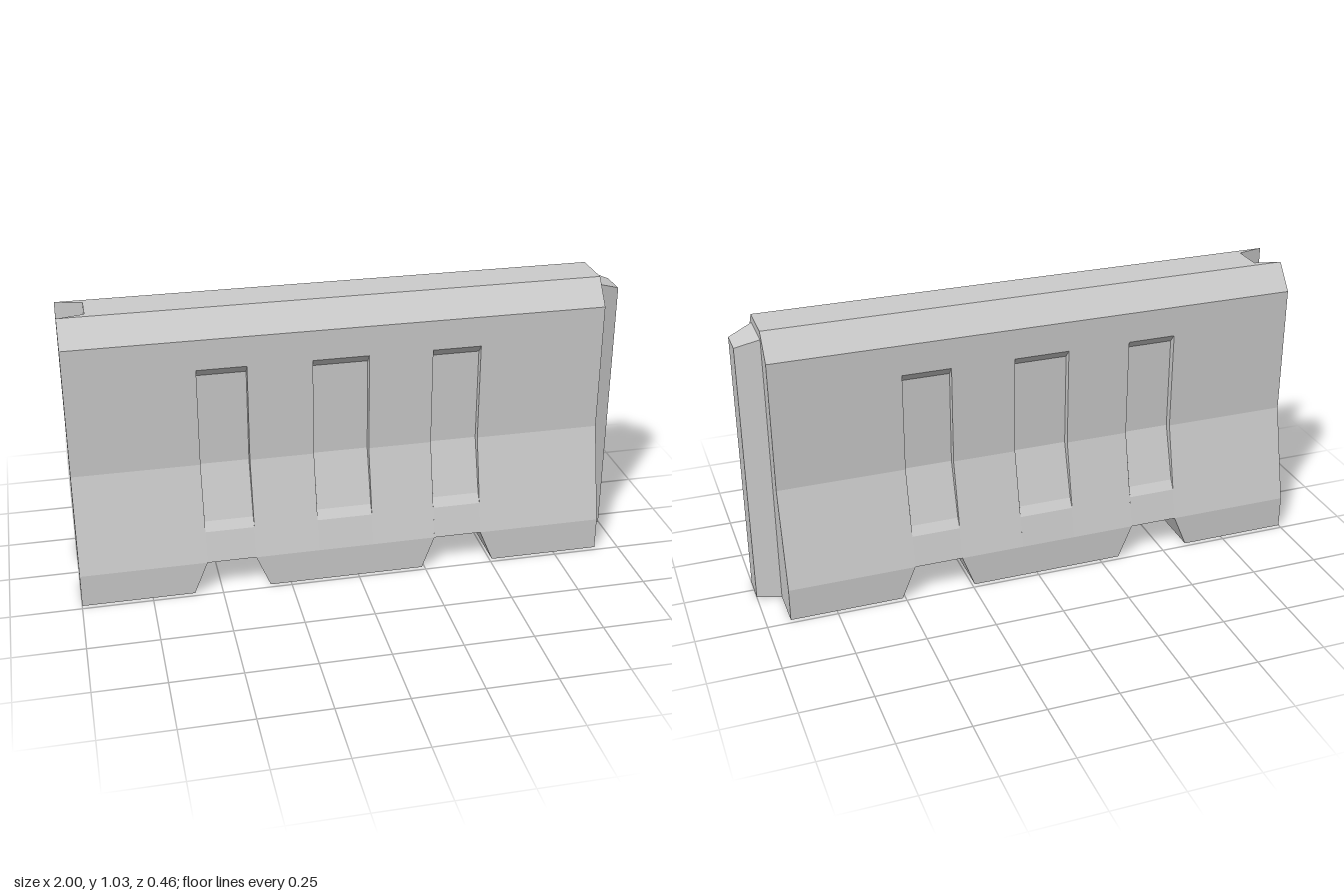
import * as THREE from 'three';
import { mergeGeometries } from 'three/addons/utils/BufferGeometryUtils.js';

const X0 = -1, X1 = 0.915, GROOVE = -0.905;
const IN = 0.078;              // half width of the top, groove mouth and tongue root
const TOP = 1.03;
const FOOT = [0.232, 0.12];    // [z, y] points of the side profile
const WAIST = [0.148, 0.47];
const SHOULDER = [0.148, 0.94];
const CROWN = [IN, TOP];

const pockets = [[-0.55, -0.375], [-0.145, 0.055], [0.285, 0.46]];
const notches = [
  [[-0.6, 0], [-0.55, 0.12], [-0.375, 0.12], [-0.325, 0]],
  [[0.24, 0], [0.285, 0.12], [0.46, 0.12], [0.51, 0]],
];
// pocket outline on the wall surface and its recessed floor, bottom to top
const pocketOuter = [[0.206, 0.23], WAIST, [0.148, 0.83]];
const pocketFloor = [[0.206, 0.23], [0.185, 0.262], [0.122, 0.46], [0.122, 0.8], [0.148, 0.83]];

// strip of flat quads between two equal rows of [x, y, z] points
function strip(a, b) {
  const p = [];
  for (let i = 0; i < a.length - 1; i++) {
    for (const v of [a[i], b[i], b[i + 1], a[i], b[i + 1], a[i + 1]]) p.push(...v);
  }
  const g = new THREE.BufferGeometry();
  g.setAttribute('position', new THREE.Float32BufferAttribute(p, 3));
  g.computeVertexNormals();
  return g;
}

// [z, y] profile swept along x
const sweep = (profile, x0, x1) => strip(
  profile.map(([z, y]) => [x0, y, z]),
  profile.map(([z, y]) => [x1, y, z]));

function flat(points) {
  const g = new THREE.ShapeGeometry(new THREE.Shape(points.map(([x, y]) => new THREE.Vector2(x, y))));
  const out = g.toNonIndexed();
  out.deleteAttribute('uv');
  return out;
}

// flat [z, y] outline at a given x, facing +x or -x
function crossPanel(points, x, dir) {
  return flat(points.map(([z, y]) => [-dir * z, y])).rotateY(dir * Math.PI / 2).translate(x, 0, 0);
}

// copy mirrored in z, with the corner order reversed to stay outward
function mirrorZ(geometry) {
  const g = geometry.clone();
  const p = g.attributes.position;
  for (let i = 0; i < p.count; i += 3) {
    const t = [0, 2, 1].map(k => new THREE.Vector3().fromBufferAttribute(geometry.attributes.position, i + k));
    t.forEach((v, k) => p.setXYZ(i + k, v.x, v.y, -v.z));
  }
  g.computeVertexNormals();
  return g;
}

export function createModel() {
  const model = new THREE.Group();
  const material = new THREE.MeshStandardMaterial({ color: 0xcccccc, flatShading: true, side: THREE.DoubleSide });
  const add = (name, parts) => {
    const mesh = new THREE.Mesh(mergeGeometries(parts), material);
    mesh.name = name;
    model.add(mesh);
  };

  // side wall: plain columns between the pockets
  const wall = [sweep([SHOULDER, CROWN], X0, X1)];
  const edges = [X0, ...pockets.flat(), X1];
  for (let i = 0; i < edges.length; i += 2) {
    wall.push(sweep([FOOT, WAIST, SHOULDER], edges[i], edges[i + 1]));
  }

  // foot band with the lifting notches cut out
  wall.push(flat([[X0, 0], ...notches.flat(), [X1, 0], [X1, FOOT[1]], [X0, FOOT[1]]]).translate(0, 0, FOOT[0]));

  // wall above and below each pocket
  const recess = [];
  for (const [a, b] of pockets) {
    wall.push(sweep([FOOT, pocketOuter[0]], a, b), sweep([pocketOuter[2], SHOULDER], a, b));
    // recessed floor and the two cheeks
    const cheek = [...pocketFloor, pocketOuter[1]];
    recess.push(sweep(pocketFloor, a, b), crossPanel(cheek, a, 1), crossPanel(cheek, b, -1));
  }
  add('frontWall', wall);
  add('backWall', wall.map(mirrorZ));
  add('frontPockets', recess);
  add('backPockets', recess.map(mirrorZ));

  // tunnels through the foot
  add('forkTunnels', notches.map(n => strip(
    n.map(([x, y]) => [x, y, -FOOT[0]]),
    n.map(([x, y]) => [x, y, FOOT[0]]))));

  // top with the groove notch
  const gz = 0.055;
  add('top', [flat([[X0, -IN], [X1, -IN], [X1, IN], [X0, IN], [GROOVE, gz], [GROOVE, -gz]]).rotateX(-Math.PI / 2).translate(0, TOP, 0)]);

  // groove end: two flanges and the groove lining
  const half = [[IN, 0], [FOOT[0], 0], FOOT, WAIST, SHOULDER, CROWN];
  const flange = crossPanel(half, X0, -1);
  const plan = [[X0, -IN], [GROOVE, -gz], [GROOVE, gz], [X0, IN]];
  add('grooveEnd', [flange, mirrorZ(flange)]);
  add('groove', [strip(plan.map(([x, z]) => [x, TOP, z]), plan.map(([x, z]) => [x, 0, z]))]);

  // tongue end: flange around the tongue opening
  const root = [[IN, 0], [IN, 1.0], [-IN, 1.0], [-IN, 0]];
  const mirrored = half.slice(1).reverse().map(([z, y]) => [-z, y]);
  add('tongueEnd', [crossPanel([...half.slice(1), ...mirrored, ...root.slice().reverse()], X1, 1)]);

  // tapered tongue, open below
  const tip = [[0.05, 0], [0.05, 0.97], [-0.05, 0.97], [-0.05, 0]];
  add('tongue', [
    strip(tip.map(([z, y]) => [1, y, z]).reverse(), root.map(([z, y]) => [X1, y, z]).reverse()),
    crossPanel(tip, 1, 1),
  ]);

  return model;
}
